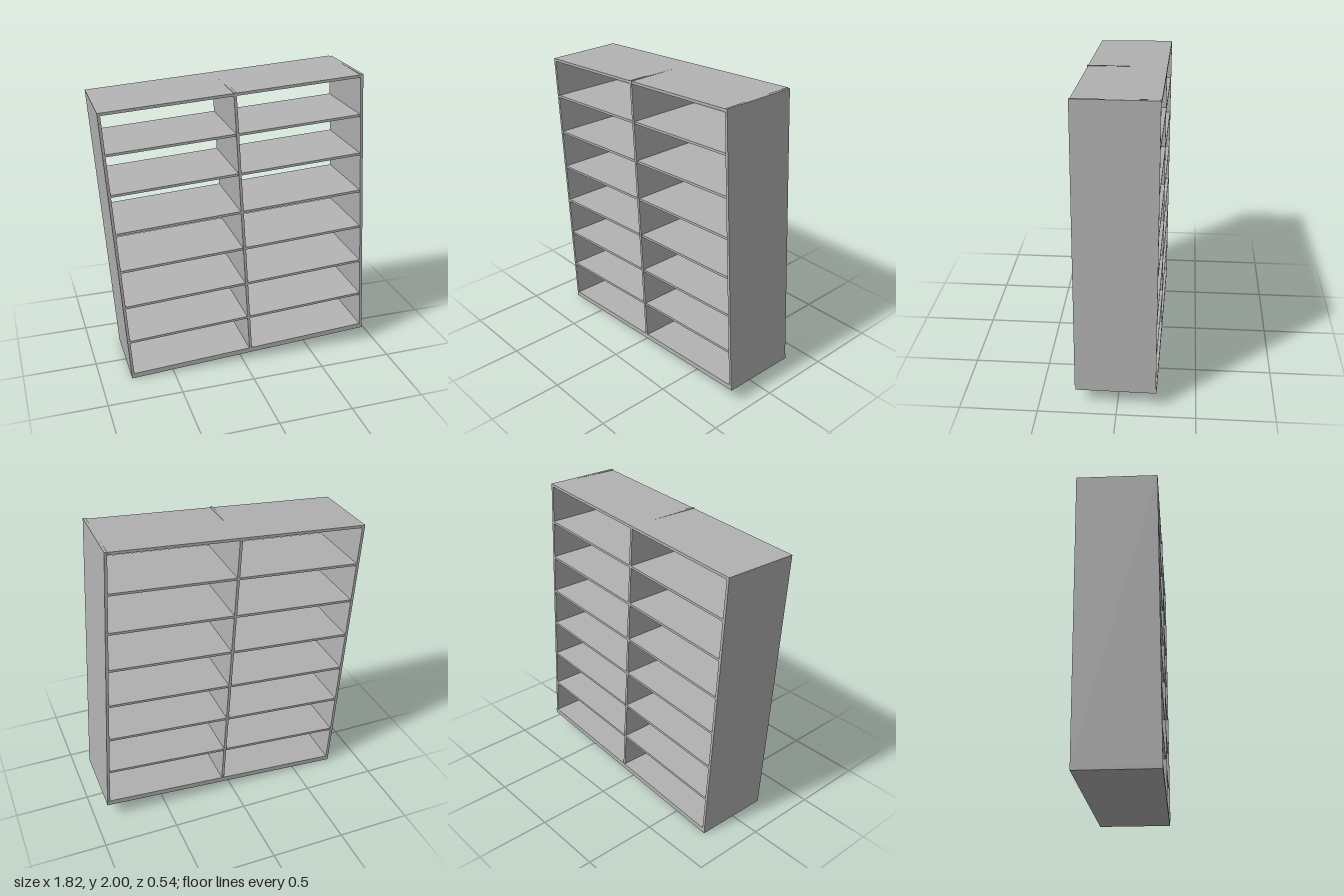
import * as THREE from 'three';

export function createModel() {
  const grey = new THREE.MeshStandardMaterial({ color: 0xb2b2b2 });
  grey.name = 'grey';

  const W = 1.7, H = 1.896, D = 0.515; // overall cabinet size
  const T = 0.018, BASE = 0.035; // board and base thickness
  const ROWS = 7, PITCH = 0.267;

  const cabinet = new THREE.Group();
  cabinet.name = 'cabinet';

  // Board placed by its centre x, bottom y and centre z
  function board(name, w, h, d, x, y, z = 0) {
    const mesh = new THREE.Mesh(new THREE.BoxGeometry(w, h, d), grey);
    mesh.name = name;
    mesh.position.set(x, y + h / 2 - H / 2, z);
    cabinet.add(mesh);
    return mesh;
  }

  // Thick base under everything
  board('base', W, BASE, D, 0, 0);

  // Upright panels; the right-hand ones stand slightly proud
  board('rightSide', T, H - BASE - 0.004, D, -W / 2 + T / 2, BASE);
  board('leftSide', T, H - BASE, D, W / 2 - T / 2, BASE, 0.004);
  board('divider', T, H - BASE, D, 0, BASE, 0.004);

  // Top board dips a little toward the front
  const top = board('top', W - T, T, D, -T / 2, H - T - 0.001);
  top.rotation.x = 0.012;

  // Shelves in both bays
  const bay = (W - 3 * T) / 2;
  for (let i = 1; i < ROWS; i++) {
    for (const side of [-1, 1]) {
      board('shelf', bay, 0.016, D - 0.004, side * (bay + T) / 2, H - i * PITCH - 0.016);
    }
  }

  // The whole cabinet leans to one side
  cabinet.rotation.set(0.002, -0.011, 0.0632);
  cabinet.position.y = 1;

  const model = new THREE.Group();
  model.name = 'shelving';
  model.add(cabinet);
  return model;
}
